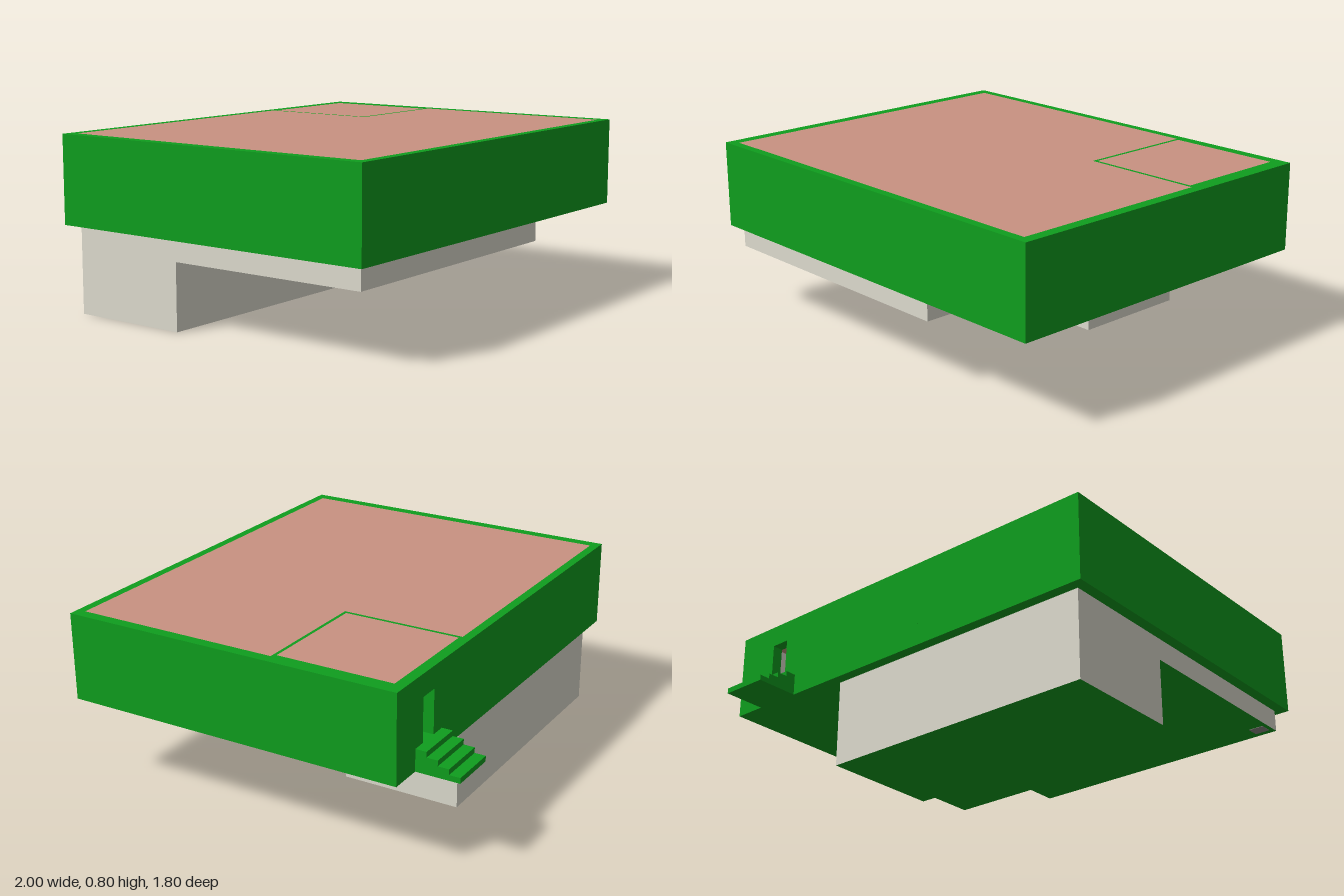
import * as THREE from 'three';

const green = new THREE.MeshStandardMaterial({ color: 0x0f9e1e });
const beige = new THREE.MeshStandardMaterial({ color: 0xdddbce });
const pink = new THREE.MeshStandardMaterial({ color: 0xc99282 });
const grey = new THREE.MeshStandardMaterial({ color: 0x8a8a84 });

// Outlines on the ground plan, as [x, z]
const outer = [[-1, -0.7], [-1, 0.9], [1, 0.9], [1, -0.7]];
const hall = [[-0.95, -0.66], [-0.95, 0.86], [0.95, 0.86], [0.95, -0.095], [0.385, -0.095], [0.385, -0.66]];
const room = [[0.4, -0.65], [0.4, -0.11], [0.93, -0.11], [0.93, -0.65]];
const door = { x0: 0.7, x1: 0.79, top: 0.7 };

const toPoints = plan => plan.map(([x, z]) => new THREE.Vector2(x, -z));

// Raises a ground plan with openings from y0 to y1
function prism(name, plan, holes, y0, y1, material) {
  const shape = new THREE.Shape(toPoints(plan));
  holes.forEach(h => shape.holes.push(new THREE.Path(toPoints(h))));
  const geo = new THREE.ExtrudeGeometry(shape, { depth: y1 - y0, bevelEnabled: false });
  geo.rotateX(-Math.PI / 2).translate(0, y0, 0);
  const mesh = new THREE.Mesh(geo, material);
  mesh.name = name;
  return mesh;
}

// Box given by its limits on each axis
function block(name, [x0, x1], [y0, y1], [z0, z1], material) {
  const mesh = new THREE.Mesh(new THREE.BoxGeometry(x1 - x0, y1 - y0, z1 - z0), material);
  mesh.position.set((x0 + x1) / 2, (y0 + y1) / 2, (z0 + z1) / 2);
  mesh.name = name;
  return mesh;
}

export function createModel() {
  const model = new THREE.Group();
  model.name = 'house';

  // Floor slab and walls; the doorway joins the small room to the outside
  const withDoorway = [
    ...outer, [door.x1, -0.7], [door.x1, -0.65], room[3], room[2],
    room[1], room[0], [door.x0, -0.65], [door.x0, -0.7],
  ];
  model.add(
    prism('floorSlab', outer, [], 0.4, 0.5, green),
    prism('lowerWalls', withDoorway, [hall], 0.5, door.top, green),
    prism('upperWalls', outer, [hall, room], door.top, 0.8, green),
  );

  // Flush roof panels
  model.add(
    prism('hallRoof', hall, [], 0.78, 0.8, pink),
    prism('roomRoof', room, [], 0.78, 0.8, pink),
  );

  // Pale lining on the small room's inner walls
  model.add(
    block('frontLining', [0.4, 0.93], [0.5, 0.78], [-0.114, -0.11], beige),
    block('rightLining', [0.4, 0.404], [0.5, 0.78], [-0.65, -0.114], beige),
    block('leftLining', [0.926, 0.93], [0.5, 0.78], [-0.65, -0.114], beige),
  );

  // Entrance steps behind the door
  const steps = new THREE.Group();
  steps.name = 'entranceSteps';
  for (let i = 0; i < 4; i++) {
    const z = -0.7 - i * 0.05;
    steps.add(block('step', [0.63, 0.85], [0.4, 0.5 - i * 0.025], [z - 0.05, z], green));
  }
  model.add(steps);

  // Basement: pale sides, green underside
  const sides = [beige, beige, beige, green, beige, beige];
  model.add(
    block('deepBasement', [-0.95, 0.38], [0, 0.4], [-0.65, -0.09], sides),
    block('shallowBasement', [-0.95, 0.38], [0.3, 0.4], [-0.09, 0.86], sides),
    block('floorHatch', [-0.93, -0.86], [0.298, 0.3], [0.77, 0.83], grey),
  );
  return model;
}
